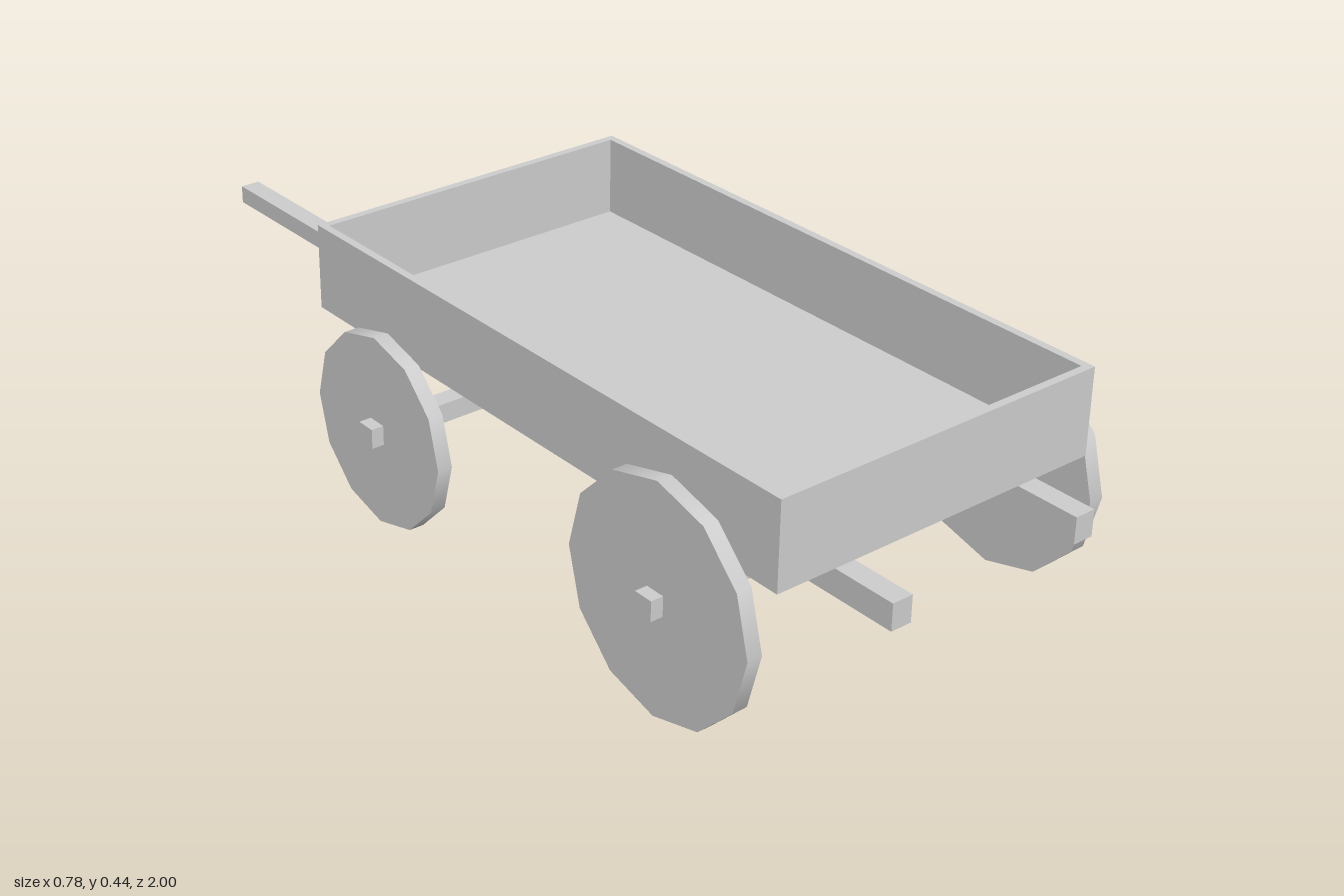
import * as THREE from 'three';

export function createModel() {
  const cart = new THREE.Group();
  cart.name = 'cart';
  const wood = new THREE.MeshStandardMaterial({ color: 0xcccccc });
  wood.name = 'pale grey';

  const add = (name, geometry, x, y, z) => {
    const mesh = new THREE.Mesh(geometry, wood);
    mesh.name = name;
    mesh.position.set(x, y, z);
    cart.add(mesh);
    return mesh;
  };
  // Box given by its lowest and highest corners
  const block = (name, [x0, y0, z0], [x1, y1, z1]) =>
    add(name, new THREE.BoxGeometry(x1 - x0, y1 - y0, z1 - z0),
      (x0 + x1) / 2, (y0 + y1) / 2, (z0 + z1) / 2);

  // Open cargo tray: one-piece wall frame around a thin floor
  const W = 0.315, Z0 = -0.255, Z1 = 0.885, Y0 = 0.292, Y1 = 0.444, T = 0.014;
  const rect = (shape, w, a, b) => shape.moveTo(-w, a).lineTo(w, a).lineTo(w, b).lineTo(-w, b).closePath();
  const frame = rect(new THREE.Shape(), W, -Z1, -Z0);
  frame.holes.push(rect(new THREE.Path(), W - T, -Z1 + T, -Z0 - T));
  const walls = new THREE.ExtrudeGeometry(frame, { depth: Y1 - Y0, bevelEnabled: false });
  walls.rotateX(-Math.PI / 2);
  add('trayWalls', walls, 0, Y0, 0);
  block('trayFloor', [-W + T, Y0, Z0 + T], [W - T, Y0 + 0.012, Z1 - T]);

  // Axles with a pair of solid twelve-sided wheels each
  const axles = [
    { name: 'front', z: 0.685, r: 0.2 },
    { name: 'rear', z: -0.022, r: 0.171 },
  ];
  for (const { name, z, r } of axles) {
    add(name + 'Axle', new THREE.BoxGeometry(0.776, 0.035, 0.036), 0, r, z);
    const wheel = new THREE.CylinderGeometry(r, r, 0.027, 12).rotateZ(Math.PI / 2);
    for (const s of [-1, 1]) add(name + (s > 0 ? 'LeftWheel' : 'RightWheel'), wheel, s * 0.352, r, z);
  }

  // Pulling pole
  block('pole', [-0.019, 0.145, -1], [0.019, 0.179, -0.255]);

  for (const s of [-1, 1]) {
    const side = s > 0 ? 'left' : 'right';
    // Long beam under the tray
    add(side + 'Beam', new THREE.BoxGeometry(0.038, 0.046, 1.285), s * 0.186, 0.269, 0.3575);
    // Slanted brace from the rear axle to the pole
    const from = new THREE.Vector3(s * 0.168, 0.17, -0.022);
    const to = new THREE.Vector3(s * 0.009, 0.161, -0.372);
    const mid = from.clone().add(to).multiplyScalar(0.5);
    const brace = add(side + 'Brace', new THREE.BoxGeometry(0.026, 0.02, from.distanceTo(to)), mid.x, mid.y, mid.z);
    brace.lookAt(to);
  }
  return cart;
}
